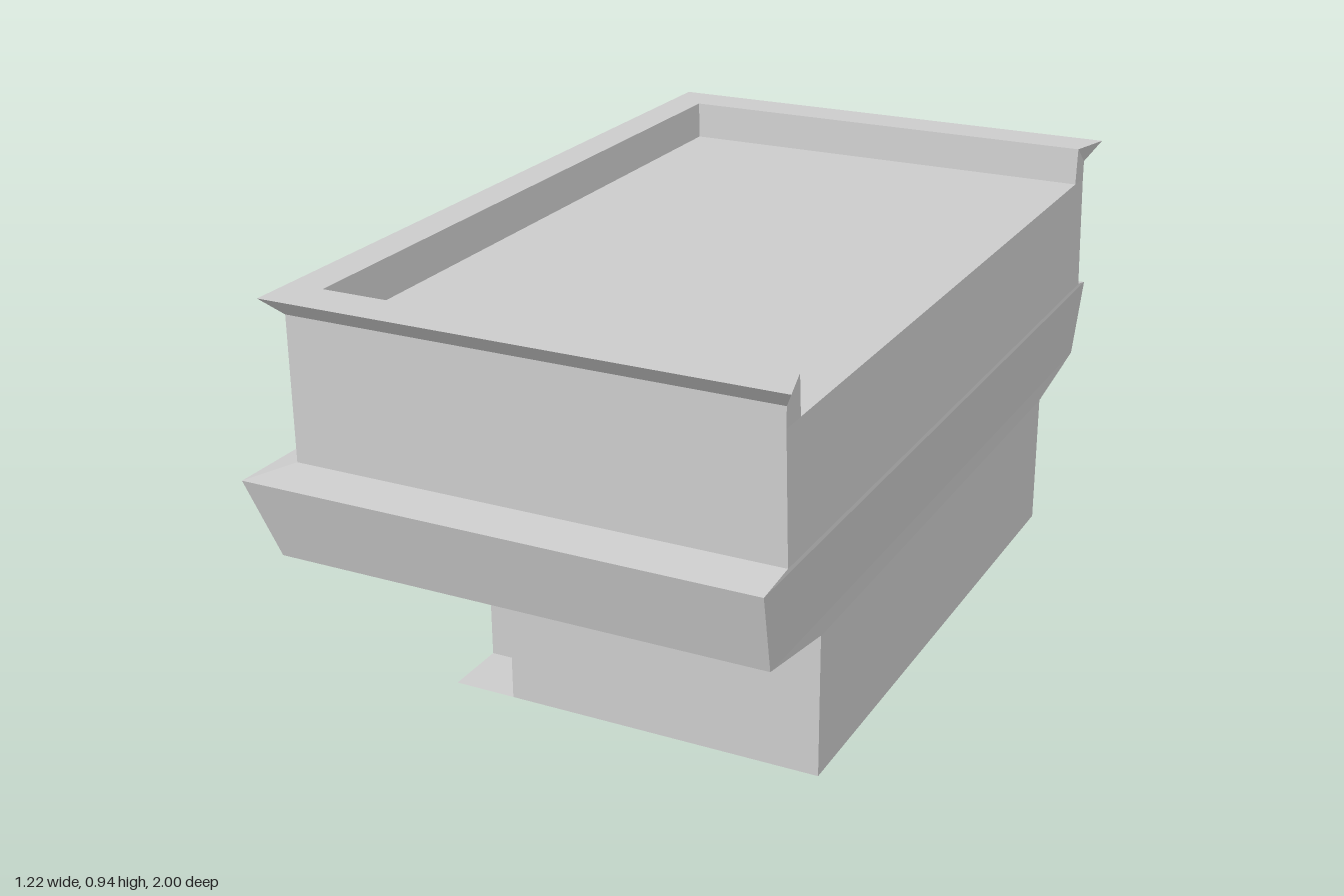
import * as THREE from 'three';

const material = new THREE.MeshStandardMaterial({ color: 0xcccccc, flatShading: true, side: THREE.DoubleSide });

// Joins closed rings of corners into a faceted solid, capped at both ends.
function loft(rings) {
  const pos = [];
  const tri = (a, b, c) => pos.push(...a, ...b, ...c);
  const n = rings[0].length;
  for (let k = 0; k + 1 < rings.length; k++) {
    const a = rings[k], b = rings[k + 1];
    for (let i = 0; i < n; i++) {
      const j = (i + 1) % n;
      tri(a[i], a[j], b[j]);
      tri(a[i], b[j], b[i]);
    }
  }
  const first = rings[0], last = rings[rings.length - 1];
  for (let i = 1; i < n - 1; i++) {
    const p = (1 + i) % n, q = (2 + i) % n; // fan from corner 1
    tri(first[1], first[q], first[p]);
    tri(last[1], last[p], last[q]);
  }
  const geometry = new THREE.BufferGeometry();
  geometry.setAttribute('position', new THREE.Float32BufferAttribute(pos, 3));
  geometry.computeVertexNormals();
  return geometry;
}

export function createModel() {
  const group = new THREE.Group();
  const add = (name, geometry) => {
    const mesh = new THREE.Mesh(geometry, material);
    mesh.name = name;
    group.add(mesh);
    return mesh;
  };

  // Pedestal with two notched corners on the -x side
  const footprint = new THREE.Shape([
    [0.572, -0.7], [0.572, 0.7], [-0.16, 0.7], [-0.16, 0.55],
    [-0.305, 0.55], [-0.305, -0.55], [-0.16, -0.55], [-0.16, -0.7],
  ].map(([x, y]) => new THREE.Vector2(x, y)));
  const pedestal = new THREE.ExtrudeGeometry(footprint, { depth: 0.33, bevelEnabled: false });
  pedestal.rotateX(-Math.PI / 2);
  add('pedestal', pedestal);

  // Thin floor in the notched corners
  for (const side of [1, -1]) {
    const floor = new THREE.PlaneGeometry(0.145, 0.15).rotateX(-Math.PI / 2);
    add('notchFloor', floor).position.set(-0.2325, 0, side * 0.625);
  }

  // Body: flared underside, sloping band, ledge and upright wall
  const levels = [ // y, left x, right x, front z, back z
    [0.33, -0.305, 0.574, 0.7, -0.7],
    [0.372, -0.56, 0.575, 0.95, -0.95],
    [0.555, -0.61, 0.583, 1, -1],
    [0.565, -0.55, 0.582, 0.89, -0.95],
    [0.85, -0.55, 0.575, 0.89, -0.95],
  ];
  add('body', loft(levels.map(([y, x0, x1, zf, zb]) =>
    [[x1, y, zf], [x1, y, zb], [x0, y, zb], [x0, y, zf]])));

  // Rim with outward lip around three sides, open towards +x
  const profile = [ // y, left x, right x, half length
    [0.85, -0.55, 0.575, 0.92],
    [0.895, -0.55, 0.575, 0.92],
    [0.94, -0.58, 0.605, 0.968],
    [0.94, -0.495, 0.575, 0.862],
    [0.85, -0.49, 0.575, 0.855],
  ];
  const station = (right, side) => profile.map(([y, x0, x1, h]) =>
    [right ? x1 : x0, y, -0.03 + side * h]);
  add('rim', loft([station(true, 1), station(false, 1), station(false, -1), station(true, -1)]));

  return group;
}
